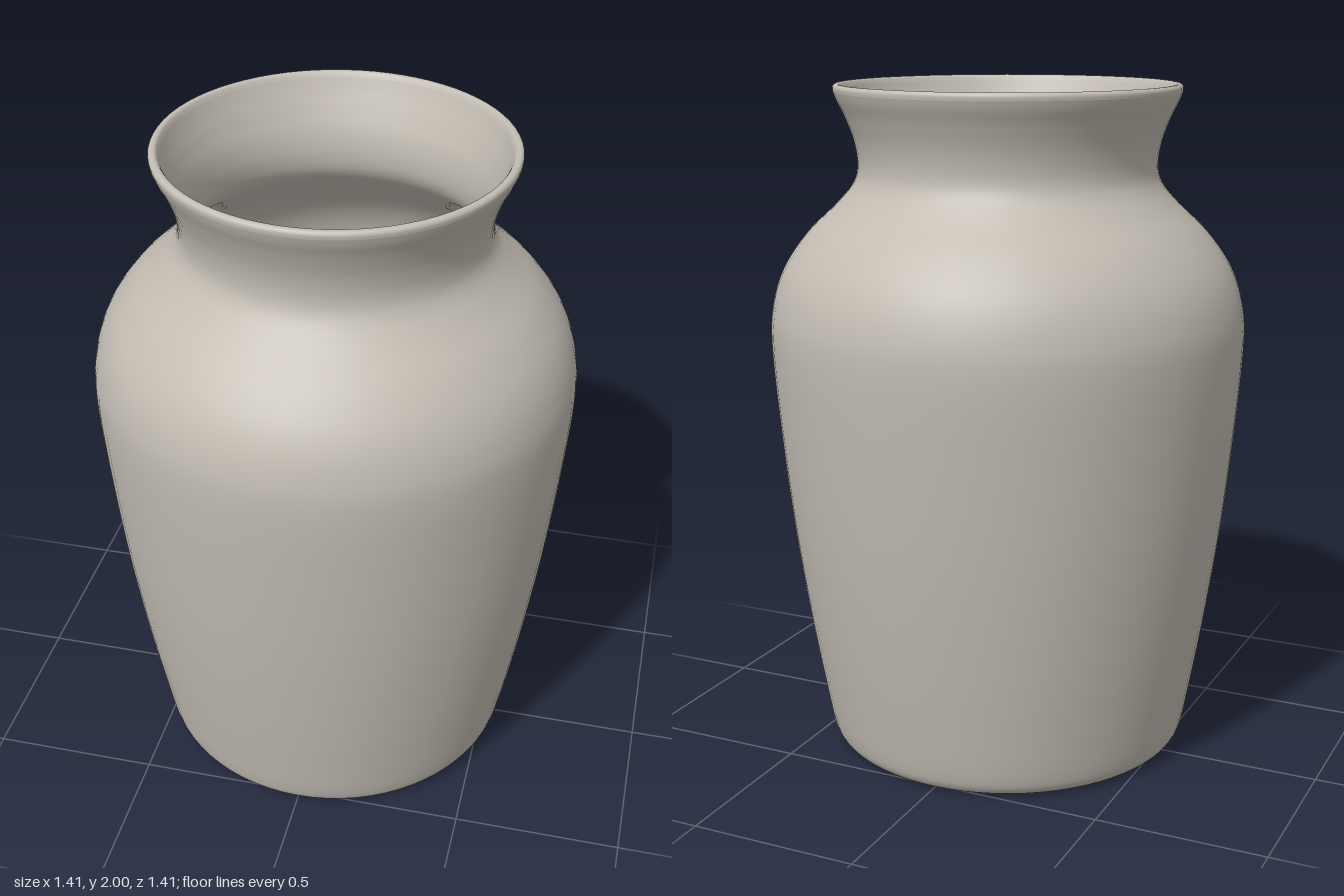
import * as THREE from 'three';

const SEGMENTS = 72;

// Smooth curve through a few [radius, height] points
function smooth(points, divisions) {
  const curve = new THREE.SplineCurve(points.map(([r, y]) => new THREE.Vector2(r, y)));
  return curve.getPoints(divisions);
}

export function createModel() {
  const group = new THREE.Group();
  group.name = 'vase';
  const clay = new THREE.MeshStandardMaterial({ color: 0xc2bcb2 });
  clay.name = 'warm grey clay';

  const addLathe = (name, profile) => {
    const mesh = new THREE.Mesh(new THREE.LatheGeometry(profile, SEGMENTS), clay);
    mesh.name = name;
    group.add(mesh);
  };

  // Underside: shallow round recess with a soft step to the foot ring
  addLathe('base', [
    new THREE.Vector2(0, 0.03),
    ...smooth([[0.32, 0.03], [0.345, 0.027], [0.37, 0.008], [0.39, 0.001], [0.41, 0]], 16),
    new THREE.Vector2(0.49, 0),
  ]);

  // Outer wall: rounded foot, tapered body, shoulder, neck and flared mouth
  addLathe('outerWall', smooth([
    [0.49, 0], [0.515, 0.004], [0.537, 0.022], [0.552, 0.06], [0.572, 0.16],
    [0.613, 0.4], [0.655, 0.7], [0.686, 1.0], [0.704, 1.25], [0.695, 1.37],
    [0.658, 1.475], [0.59, 1.57], [0.505, 1.652], [0.455, 1.712], [0.44, 1.765],
    [0.449, 1.835], [0.474, 1.905], [0.497, 1.952], [0.507, 1.978],
  ], 110));

  // Rim: narrow lip with rounded edges
  addLathe('rim', smooth([
    [0.507, 1.978], [0.508, 1.99], [0.503, 1.998], [0.494, 2.0], [0.486, 1.997], [0.479, 1.985],
  ], 20));

  // Inner wall and floor, following the outside at a thin wall thickness
  addLathe('innerWall', [
    ...smooth([
      [0.479, 1.985], [0.465, 1.95], [0.443, 1.9], [0.419, 1.835], [0.411, 1.765],
      [0.427, 1.7], [0.485, 1.633], [0.572, 1.548], [0.633, 1.46], [0.666, 1.365],
      [0.675, 1.25], [0.657, 1.0], [0.626, 0.7], [0.584, 0.4], [0.543, 0.16],
      [0.525, 0.09], [0.505, 0.064], [0.47, 0.06],
    ], 100),
    new THREE.Vector2(0, 0.06),
  ]);

  return group;
}
